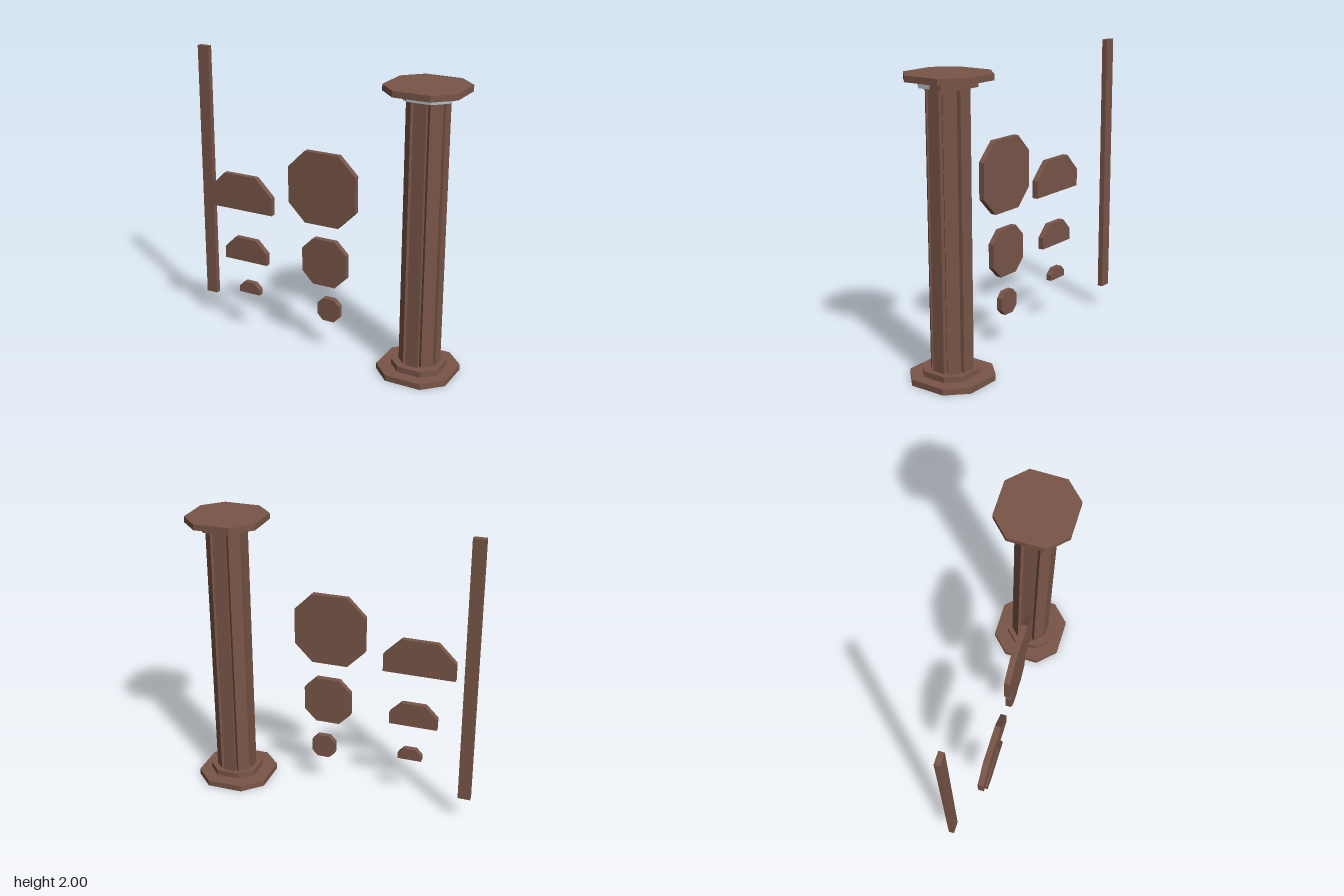
import * as THREE from 'three';

const wood = new THREE.MeshStandardMaterial({ color: 0x795548, flatShading: true });
const metal = new THREE.MeshStandardMaterial({ color: 0xb0bec5, flatShading: true });
const T = 0.04; // plate thickness

// Plate with chamfered corners, w wide; a half plate keeps only the part above its centre line
function plateGeometry(w, half) {
  const r = w / 2, c = w / 4;
  const pts = half
    ? [[-r, 0], [r, 0], [r, c], [c, r], [-c, r], [-r, c]]
    : [[-c, -r], [c, -r], [r, -c], [r, c], [c, r], [-c, r], [-r, c], [-r, -c]];
  const shape = new THREE.Shape(pts.map(([x, y]) => new THREE.Vector2(x, y)));
  return new THREE.ExtrudeGeometry(shape, { depth: T, bevelEnabled: false });
}

function add(parent, name, geometry, x, y, z, material = wood) {
  const mesh = new THREE.Mesh(geometry, material);
  mesh.name = name;
  mesh.position.set(x, y, z);
  parent.add(mesh);
  return mesh;
}

// Plate lying flat with its underside at y; a half plate points to -z
function flatPlate(parent, name, w, half, x, y, z, material) {
  const geometry = plateGeometry(w, half).rotateX(-Math.PI / 2);
  return add(parent, name, geometry, x, y, z, material);
}

function createColumn() {
  const column = new THREE.Group();
  column.name = 'column';

  // Stepped base and top plate
  flatPlate(column, 'basePlate', 0.496, false, 0.735, 0, 0.004);
  flatPlate(column, 'baseStep', 0.33, false, 0.745, 0.042, 0.01);
  flatPlate(column, 'topPlate', 0.496, false, 0.735, 1.905, -0.001);

  // Ring under the top plate: wooden back half, metal front half
  flatPlate(column, 'collarBack', 0.33, true, 0.745, 1.865, -0.005);
  flatPlate(column, 'collarFront', 0.33, true, 0.745, 1.865, -0.005, metal).rotation.y = Math.PI;

  // Shaft of eight upright planks
  const shaft = new THREE.Group();
  shaft.name = 'shaft';
  shaft.position.set(0.743, 0.06, 0);
  const plank = new THREE.BoxGeometry(0.084, 1.83, 0.038).translate(0, 0.915, 0.113);
  for (let i = 0; i < 8; i++) {
    add(shaft, 'shaftPlank', plank, 0, 0, 0).rotation.y = (i * Math.PI) / 4;
  }
  column.add(shaft);
  return column;
}

export function createModel() {
  const model = new THREE.Group();
  model.name = 'columnKit';
  model.add(createColumn());

  // Loose upright plank
  add(model, 'loosePlank', new THREE.BoxGeometry(0.084, 1.83, 0.038), -0.943, 1.085, -0.064);

  // Loose octagonal plates: width, x, y, back z
  [[0.496, 0.06, 1.185, 0.075], [0.33, 0.07, 0.663, 0.058], [0.165, 0.093, 0.313, 0.037]]
    .forEach(([w, x, y, z]) => add(model, 'octagonPlate', plateGeometry(w, false), x, y, z));

  // Loose half plates
  [[0.496, -0.558, 0.94, 0.093], [0.333, -0.532, 0.56, 0.08], [0.165, -0.522, 0.31, 0.06]]
    .forEach(([w, x, y, z]) => add(model, 'halfPlate', plateGeometry(w, true), x, y, z));

  return model;
}
